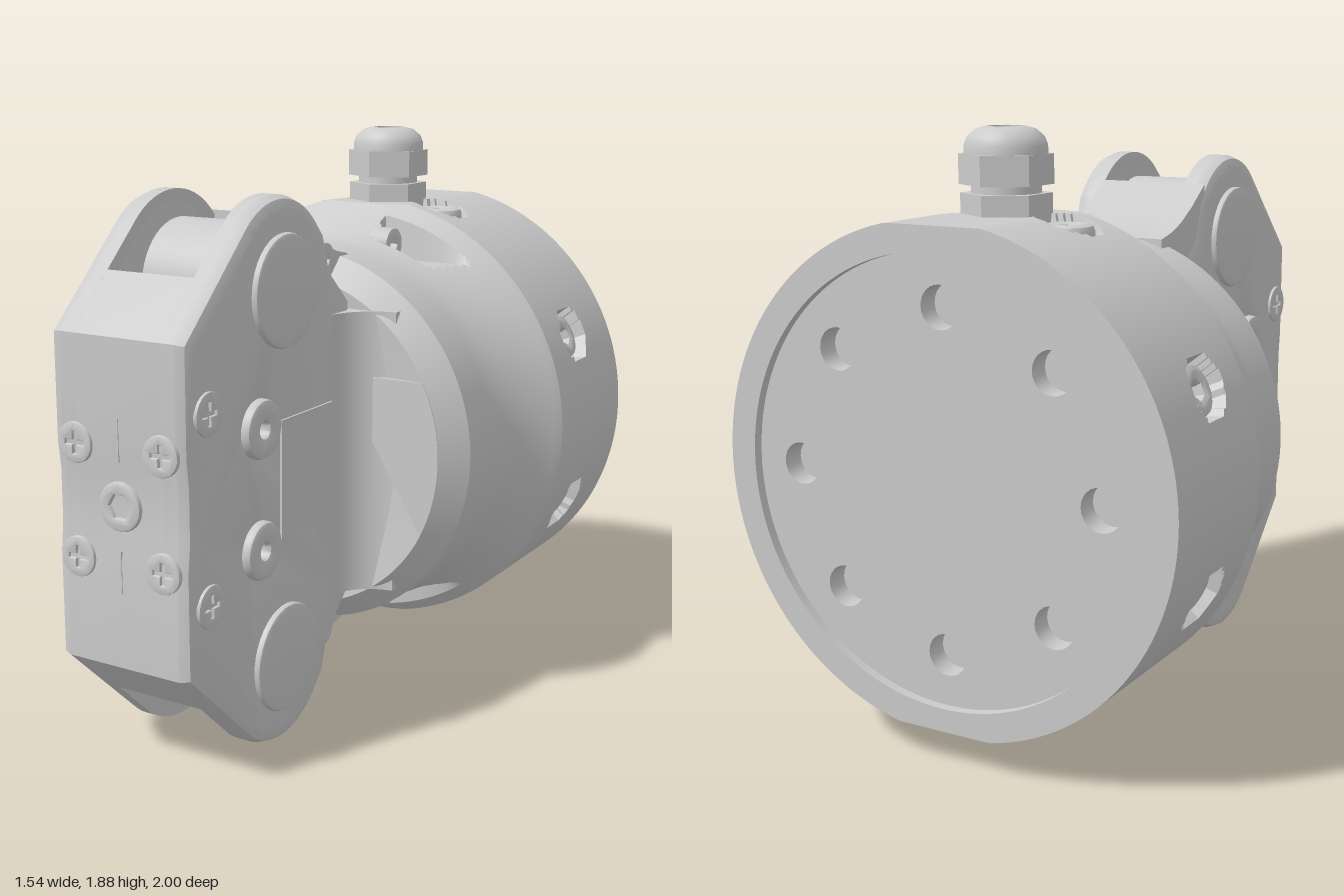
import * as THREE from 'three';
import { toCreasedNormals } from 'three/addons/utils/BufferGeometryUtils.js';

const CENTRE_Y = 0.875;
const material = new THREE.MeshStandardMaterial({ color: 0xcccccc });
const V = (x, y, z) => new THREE.Vector3(x, y, z);

export function createModel() {
  const model = new THREE.Group();
  const body = new THREE.Group(); // everything is built around the main axis
  body.name = 'jointModule';
  body.position.y = CENTRE_Y;
  model.add(body);

  const add = (name, geo, crease = 0.5) => {
    const mesh = new THREE.Mesh(toCreasedNormals(geo, crease), material);
    mesh.name = name;
    body.add(mesh);
    return mesh;
  };
  const circle = (r, n = 32, x = 0, y = 0) => new THREE.Path(Array.from({ length: n }, (_, i) => {
    const a = (i / n) * Math.PI * 2;
    return new THREE.Vector2(x + r * Math.cos(a), y + r * Math.sin(a));
  }));
  const cross = (a, b) => new THREE.Path([[a, b], [b, b], [b, a], [-b, a], [-b, b], [-a, b],
    [-a, -b], [-b, -b], [-b, -a], [b, -a], [b, -b], [a, -b]].map(p => new THREE.Vector2(...p)));

  // Round head with an optional socket, its outer face at pos + dir * height
  const head = (name, pos, dir, r, height, socket, bevel = 0.012) => {
    const shape = new THREE.Shape(circle(r, 40).getPoints());
    if (socket) shape.holes.push(socket);
    const geo = new THREE.ExtrudeGeometry(shape, { depth: height - bevel, bevelEnabled: true, bevelSize: bevel,
      bevelThickness: bevel, bevelOffset: -bevel, bevelSegments: 2 });
    const mesh = add(name, geo);
    mesh.position.copy(pos);
    mesh.quaternion.setFromUnitVectors(V(0, 0, 1), dir);
    return mesh;
  };

  // Plate with a (z, y) outline, spanning x0..x1
  const slab = (name, shape, x0, x1, bevel = 0) => {
    const geo = new THREE.ExtrudeGeometry(shape, { depth: x1 - x0 - 2 * bevel, bevelEnabled: bevel > 0,
      bevelSize: bevel, bevelThickness: bevel, bevelOffset: -bevel, bevelSegments: 2, curveSegments: 24 });
    geo.translate(0, 0, bevel - x1 + 0).rotateY(-Math.PI / 2);
    return add(name, geo);
  };
  // Outline from its upper half, mirrored below the axis
  const mirrored = (half) => new THREE.Shape([...half, ...half.slice().reverse().map(([z, y]) => [z, -y])]
    .map(p => new THREE.Vector2(...p)));

  // ---- Housing: turned body with screw wells and clamp pockets pressed in
  const wells = [];
  for (const sx of [-1, 1]) for (const sy of [-1, 1]) {
    const a = 0.42;
    wells.push({ px: 0, ux: sx * Math.cos(a), uy: sy * Math.sin(a), z: -0.69, floor: 0.7 });
    wells.push({ px: sx * 0.21, ux: 0, uy: sy, z: -0.61, floor: 0.69 });
  }
  const profile = [[0, -0.9], [0.68, -0.9], [0.68, -1]];
  for (let i = 0; i <= 80; i++) {
    const z = -1 + i / 80;
    const t = THREE.MathUtils.clamp((z + 0.46) / 0.31, 0, 1);
    profile.push([0.77 - 0.125 * (1 - (1 - t) ** 2), z]);
  }
  profile.push([0.57, 0.08], [0.25, 0.04], [0, 0.04]);
  const housing = new THREE.LatheGeometry(profile.map(p => new THREE.Vector2(...p)), 256).rotateX(Math.PI / 2);
  const pos = housing.attributes.position;
  for (let i = 0; i < pos.count; i++) {
    let x = pos.getX(i), y = pos.getY(i);
    const z = pos.getZ(i);
    y = THREE.MathUtils.clamp(y, -0.753, 0.753);
    if (z > -0.95 && Math.hypot(x, y) > 0.69) for (const w of wells) {
      const along = (x - w.px) * w.ux + y * w.uy;
      const side = (x - w.px) * w.uy - y * w.ux;
      if (along > w.floor && Math.hypot(side, z - w.z) < 0.092) {
        x += w.ux * (w.floor - along);
        y += w.uy * (w.floor - along);
      }
    }
    if (x > 0.12 && Math.abs(z + 0.33) < 0.065 && Math.abs(y) > 0.57) y = Math.sign(y) * 0.57;
    pos.setXYZ(i, x, y, z);
  }
  add('housing', housing, 0.4);

  for (const w of wells) {
    const dir = V(w.ux, w.uy, 0);
    const at = V(w.px, 0, w.z).addScaledVector(dir, w.floor - 0.005);
    head('housingScrew', at, dir, 0.08, 0.048, circle(0.028, 6), 0.02);
  }

  // Rear cover with a ring of eight holes
  const cover = new THREE.Shape(circle(0.685, 96).getPoints());
  for (let i = 0; i < 8; i++) {
    const a = (i * Math.PI) / 4;
    cover.holes.push(circle(0.065, 24, 0.52 * Math.cos(a), 0.52 * Math.sin(a)));
  }
  add('rearCover', new THREE.ExtrudeGeometry(cover, { depth: 0.07, bevelEnabled: false }).translate(0, 0, -0.97));

  // ---- Arm: notched core, back block and two bevelled side plates
  const plateHalf = [[0.07, 0], [0.07, 0.5], [0.19, 0.61], [0.23, 0.73]];
  for (let i = 0; i <= 16; i++) {
    const a = Math.PI * (0.75 - i / 32);
    plateHalf.push([0.485 + 0.285 * Math.cos(a), 0.585 + 0.285 * Math.sin(a)]);
  }
  plateHalf.push([0.99, 0.5], [0.99, 0.17], [0.98, 0.08]);
  const boreHoles = (shape) => {
    for (const y of [-0.19, 0.19]) shape.holes.push(circle(0.03, 24, 0.63, y));
    return shape;
  };
  const plate = boreHoles(mirrored(plateHalf.slice(1)));
  slab('leftPlate', plate, 0.155, 0.245, 0.04);
  slab('rightPlate', plate, -0.245, -0.155, 0.04);
  slab('leftPlateInner', plate, 0.155, 0.2);
  slab('rightPlateInner', plate, -0.2, -0.155);

  const backCurve = [[-0.05, 0.63], [0.02, 0.645], [0.09, 0.67], [0.17, 0.715], [0.27, 0.785]];
  slab('armCore', boreHoles(mirrored([...backCurve, [0.27, 0.36], [0.74, 0.36], [0.74, 0.6], [0.82, 0.66],
    [0.99, 0.5], [0.99, 0.17], [0.98, 0.08]])), -0.156, 0.156);
  slab('armRoot', mirrored([...backCurve, [0.27, 0.4]]), -0.235, -0.15);

  for (const sy of [-1, 1]) {
    // Pulley in each slot
    const pulley = add('pulley', new THREE.CylinderGeometry(0.2, 0.2, 0.27, 48).rotateZ(Math.PI / 2));
    pulley.position.set(0, sy * 0.585, 0.485);
    // Clamp screws across the neck
    for (const z of [-0.33, 0.13]) head('clampScrew', V(0.11, sy * 0.628, z), V(1, 0, 0), 0.058, 0.07, circle(0.025, 6), 0.005);
  }

  for (const s of [-1, 1]) {
    const out = V(s, 0, 0);
    // Fillet between arm and housing face
    const fillet = new THREE.Shape();
    fillet.moveTo(0.15, 0.03);
    fillet.lineTo(0.4, 0.03);
    fillet.lineTo(0.4, 0.06);
    fillet.quadraticCurveTo(0.26, 0.08, 0.24, 0.24);
    fillet.lineTo(0.15, 0.24);
    const root = add('armFillet', new THREE.ExtrudeGeometry(fillet, { depth: 0.94, bevelEnabled: false })
      .rotateX(Math.PI / 2).translate(0, 0.47, 0));
    root.rotation.z = s > 0 ? 0 : Math.PI;

    // Raised middle panel on the housing face
    const a = Math.asin(0.255 / 0.57);
    const face = new THREE.Shape();
    face.moveTo(0.2, -0.255);
    face.absarc(0, 0, 0.57, -a, a, false);
    face.lineTo(0.2, 0.255);
    const panel = add('facePanel', new THREE.ExtrudeGeometry(face, { depth: 0.083, bevelEnabled: false }));
    panel.rotation.z = s > 0 ? 0 : Math.PI;

    // Side cover panel
    const cap = add('sidePanel', new THREE.BoxGeometry(0.03, 0.38, 0.31));
    cap.position.set(s * 0.237, 0, 0.355);

    for (const sy of [-1, 1]) {
      head('pivotCap', V(s * 0.235, sy * 0.585, 0.485), out, 0.175, 0.03);
      head('boreBoss', V(s * 0.235, sy * 0.19, 0.63), out, 0.092, 0.04, circle(0.025, 24), 0.015);
      head('sideScrew', V(s * 0.235, sy * 0.288, 0.89), out, 0.066, 0.02, cross(0.035, 0.007), 0.004);
      head('frontScrew', V(s * 0.155, sy * 0.175, 0.975), V(0, 0, 1), 0.062, 0.025, cross(0.034, 0.007), 0.004);
    }
  }
  head('frontPlug', V(0, 0, 0.965), V(0, 0, 1), 0.075, 0.03, circle(0.04, 6), 0.008);
  for (const s of [-1, 1]) {
    add('frontSeam', new THREE.BoxGeometry(0.006, 0.13, 0.01)).position.set(0, s * 0.2, 0.988);
  }

  // ---- Cable gland on top
  const gland = (name, geo, y) => add(name, geo).position.set(0, y - CENTRE_Y, -0.61);
  gland('glandBase', new THREE.CylinderGeometry(0.138, 0.138, 0.09, 6), 1.645);
  gland('glandNeck', new THREE.CylinderGeometry(0.105, 0.105, 0.06, 32), 1.7);
  gland('glandNut', new THREE.CylinderGeometry(0.142, 0.142, 0.09, 6), 1.76);
  const dome = [[0.125, 0], [0.125, 0.03], [0.115, 0.055], [0.09, 0.077], [0.06, 0.085], [0.05, 0.085], [0.05, 0.03], [0, 0.03]];
  gland('glandDome', new THREE.LatheGeometry(dome.map(p => new THREE.Vector2(...p)), 40), 1.8);

  return model;
}
